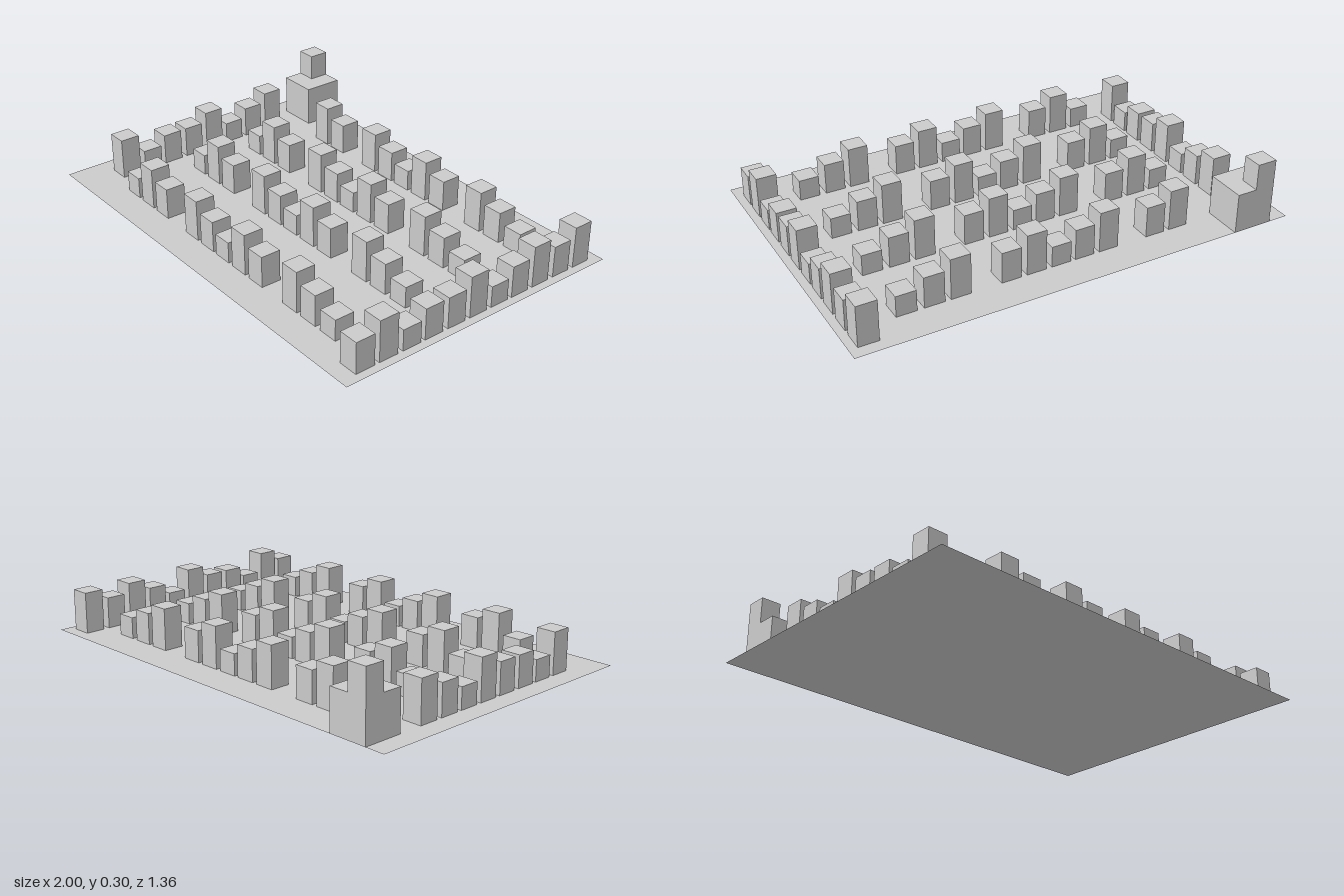
import * as THREE from 'three';

const SIZE = 0.09;                           // footprint of one block
const LOW = 0.095, MID = 0.14, TALL = 0.185; // the three block heights

const material = new THREE.MeshStandardMaterial({ color: 0xcccccc });

// Box standing on height y
function addBlock(parent, name, x, z, width, height, y = 0) {
  const mesh = new THREE.Mesh(new THREE.BoxGeometry(width, height, width), material);
  mesh.position.set(x, y + height / 2, z);
  mesh.name = name;
  parent.add(mesh);
}

function addGroup(parent, name) {
  const group = new THREE.Group();
  group.name = name;
  parent.add(group);
  return group;
}

export function createModel() {
  const model = new THREE.Group();
  model.name = 'blockField';

  // Thin ground sheet
  const ground = new THREE.Mesh(
    new THREE.PlaneGeometry(2, 1.36).rotateX(-Math.PI / 2),
    new THREE.MeshStandardMaterial({ color: 0xcccccc, side: THREE.DoubleSide })
  );
  ground.name = 'ground';
  model.add(ground);

  // Four inner rows, each in three clusters: [x, height]
  const columns = [
    [-0.66, LOW], [-0.545, TALL], [-0.43, MID],
    [-0.2, TALL], [-0.085, MID], [0.025, LOW], [0.14, TALL], [0.255, MID],
    [0.48, TALL], [0.595, MID], [0.715, LOW],
  ];
  [-0.48, -0.165, 0.145, 0.493].forEach((z, row) => {
    const group = addGroup(model, `innerRow${row + 1}`);
    columns.forEach(([x, height], i) => {
      if (row === 0 && i === 0) return; // gap beside the tower
      addBlock(group, 'block', x, z, SIZE, height);
    });
  });

  // Side rows share one pattern; the right one is shorter to leave room for the tower
  const side = [
    [0.562, MID], [0.45, TALL], [0.336, LOW], [0.226, MID], [0.11, MID], [-0.004, TALL],
    [-0.118, LOW], [-0.23, MID], [-0.345, TALL], [-0.463, MID], [-0.58, TALL],
  ];
  const left = addGroup(model, 'leftRow');
  const right = addGroup(model, 'rightRow');
  side.forEach(([z, height], i) => {
    addBlock(left, 'block', 0.918, z, SIZE, height);
    if (i >= 1 && i <= 8) addBlock(right, 'block', -0.864, z, SIZE, height);
  });

  // Corner tower: wide base with a small block on its outer corner
  const tower = addGroup(model, 'cornerTower');
  addBlock(tower, 'towerBase', -0.82, -0.59, 0.18, 0.182);
  addBlock(tower, 'towerTop', -0.865, -0.635, SIZE, 0.118, 0.182);

  return model;
}
